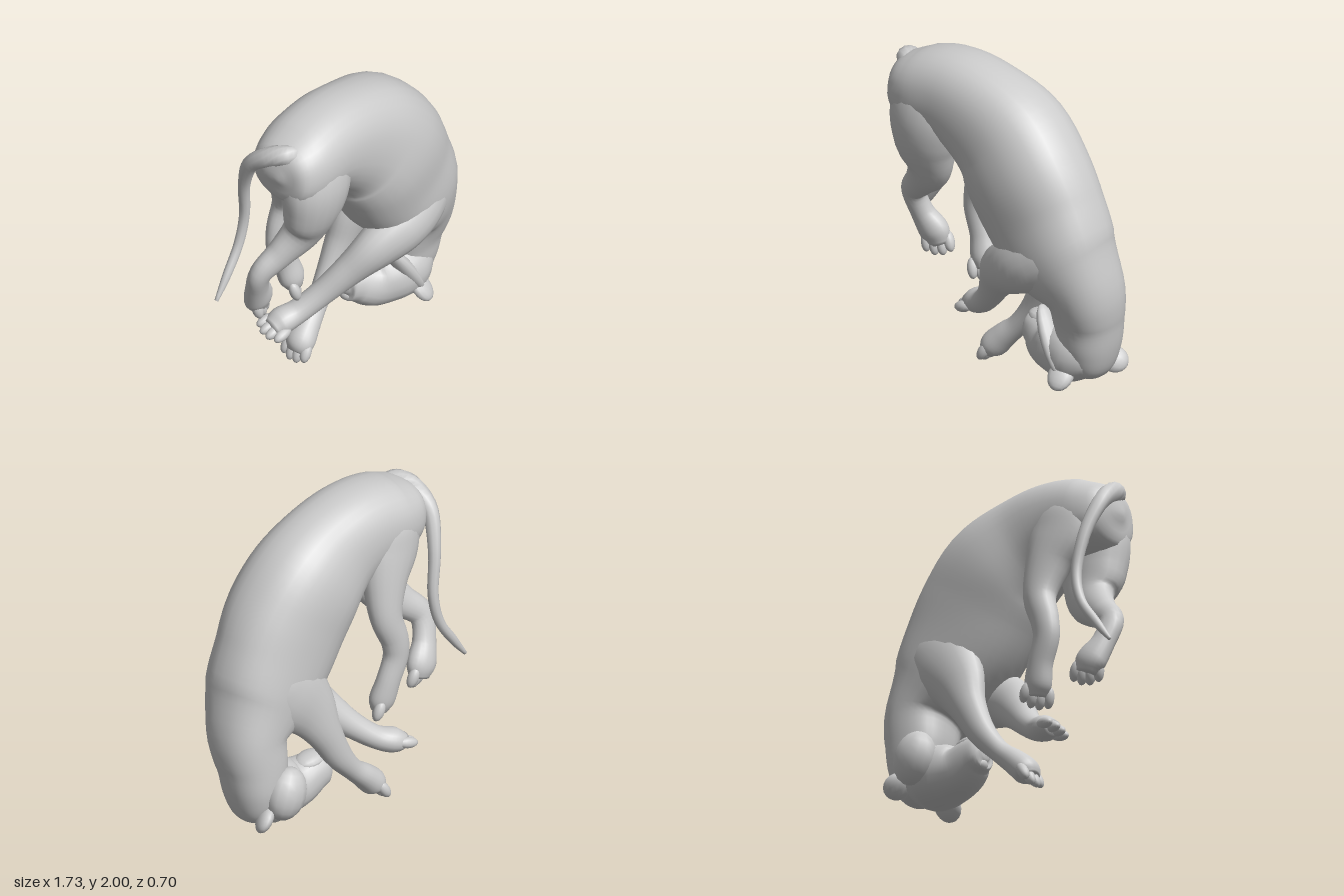
import * as THREE from 'three';

const material = new THREE.MeshStandardMaterial({ color: 0xcccccc });
const V = (a) => new THREE.Vector3(...a);
const soften = (v, e) => Math.sign(v) * Math.abs(v) ** e;

// Skin over oval cross-sections; each row is [x, y, z, half width in the xy plane, half width across]
// A power under 1 makes the ovals boxier
function loft(rows, steps = 5, sides = 20, power = 1) {
  const path = new THREE.CatmullRomCurve3(rows.map((r) => V(r.slice(0, 3))), false, 'catmullrom', 0.5);
  const size = new THREE.CatmullRomCurve3(rows.map((r) => V([r[3], r[4], 0])), false, 'catmullrom', 0.5);
  const count = (rows.length - 1) * steps;
  const pos = [], index = [];
  for (let i = 0; i <= count; i++) {
    const c = path.getPoint(i / count), s = size.getPoint(i / count), t = path.getTangent(i / count);
    const side = new THREE.Vector3(0, 0, 1).addScaledVector(t, -t.z).normalize();
    const normal = side.clone().cross(t);
    for (let j = 0; j < sides; j++) {
      const a = (j / sides) * Math.PI * 2;
      const p = c.clone().addScaledVector(normal, s.x * soften(Math.cos(a), power))
        .addScaledVector(side, s.y * soften(Math.sin(a), power));
      pos.push(p.x, p.y, p.z);
      if (i < count) {
        const k = (j + 1) % sides, o = i * sides, n = o + sides;
        index.push(o + j, o + k, n + j, o + k, n + k, n + j);
      }
    }
  }
  // Close both ends
  const first = pos.length / 3, last = first + 1, o = count * sides;
  pos.push(...path.getPoint(0).toArray(), ...path.getPoint(1).toArray());
  for (let j = 0; j < sides; j++) {
    const k = (j + 1) % sides;
    index.push(first, k, j, last, o + j, o + k);
  }
  const g = new THREE.BufferGeometry();
  g.setAttribute('position', new THREE.Float32BufferAttribute(pos, 3));
  g.setIndex(index);
  g.computeVertexNormals();
  return g;
}

export function createModel() {
  const model = new THREE.Group();
  const add = (name, geometry, parent = model) => {
    const m = new THREE.Mesh(geometry, material);
    m.name = name;
    parent.add(m);
    return m;
  };
  // Ellipsoid whose long axis (y) points along dir
  const blob = (name, at, scale, dir, parent) => {
    const m = add(name, new THREE.SphereGeometry(1, 14, 10), parent);
    m.position.copy(V(at));
    m.scale.copy(V(scale));
    m.quaternion.setFromUnitVectors(new THREE.Vector3(0, 1, 0), V(dir).normalize());
    return m;
  };

  // Arched torso running into the neck and crown
  add('body', loft([
    [-0.71, 1.72, 0.04, 0.03, 0.05],
    [-0.66, 1.72, 0.04, 0.17, 0.19],
    [-0.52, 1.71, 0.05, 0.24, 0.25],
    [-0.28, 1.72, 0.05, 0.28, 0.26],
    [-0.07, 1.65, 0.05, 0.33, 0.27],
    [0.13, 1.52, 0.04, 0.38, 0.30],
    [0.27, 1.34, 0.05, 0.40, 0.305],
    [0.39, 1.13, 0.04, 0.39, 0.29],
    [0.52, 0.92, 0.03, 0.34, 0.28],
    [0.64, 0.72, -0.01, 0.23, 0.235],
    [0.64, 0.52, -0.05, 0.20, 0.20],
    [0.64, 0.36, -0.06, 0.17, 0.18],
    [0.63, 0.22, -0.06, 0.12, 0.13],
    [0.62, 0.16, -0.06, 0.03, 0.04],
  ], 5, 32, 0.88));

  // Head turned back under the chest, crown down and chin up
  const head = new THREE.Group();
  head.name = 'head';
  model.add(head);
  add('skull', loft([
    [0.76, 0.30, -0.05, 0.03, 0.03],
    [0.71, 0.30, -0.05, 0.11, 0.13],
    [0.59, 0.31, -0.05, 0.18, 0.20],
    [0.45, 0.30, -0.06, 0.18, 0.19],
    [0.33, 0.29, -0.08, 0.15, 0.15],
    [0.22, 0.33, -0.11, 0.12, 0.115],
    [0.15, 0.34, -0.12, 0.10, 0.09],
    [0.125, 0.34, -0.12, 0.04, 0.04],
  ], 5, 20, 0.9), head);
  blob('nose', [0.165, 0.27, -0.12], [0.04, 0.04, 0.05], [0, 1, 0], head);
  blob('chin', [0.24, 0.42, -0.11], [0.04, 0.10, 0.08], [-1, 0.1, 0], head);
  blob('leftRuff', [0.46, 0.37, 0.07], [0.05, 0.23, 0.08], [-0.5, 0.85, -0.15], head);
  blob('rightRuff', [0.55, 0.37, -0.24], [0.13, 0.165, 0.11], [-0.3, 1, 0], head);
  blob('leftEar', [0.565, 0.20, 0.11], [0.08, 0.10, 0.045], [0.1, -0.7, 0.6], head);
  blob('rightEar', [0.69, 0.24, -0.21], [0.08, 0.09, 0.045], [0.75, -0.4, -0.5], head);

  // Legs: cross-sections, then where the toes sit, point and spread
  const legs = {
    leftFrontLeg: [[
      [0.68, 1.02, 0.10, 0.06, 0.06],
      [0.56, 0.98, 0.13, 0.19, 0.16],
      [0.43, 0.91, 0.17, 0.20, 0.165],
      [0.29, 0.84, 0.18, 0.175, 0.15],
      [0.13, 0.75, 0.13, 0.15, 0.12],
      [0.00, 0.62, 0.04, 0.11, 0.09],
      [-0.13, 0.48, -0.06, 0.08, 0.075],
      [-0.25, 0.38, -0.14, 0.07, 0.075],
      [-0.35, 0.34, -0.19, 0.075, 0.085],
      [-0.42, 0.32, -0.21, 0.045, 0.06],
    ], [-0.41, 0.315, -0.2], [-1, -0.25, -0.2], [-0.1, -0.25, 1]],
    rightFrontLeg: [[
      [0.62, 1.26, -0.06, 0.08, 0.06],
      [0.53, 1.12, -0.09, 0.22, 0.14],
      [0.42, 0.97, -0.12, 0.25, 0.145],
      [0.29, 0.80, -0.16, 0.18, 0.11],
      [0.20, 0.62, -0.19, 0.115, 0.085],
      [0.10, 0.43, -0.20, 0.085, 0.07],
      [-0.02, 0.28, -0.19, 0.065, 0.065],
      [-0.12, 0.19, -0.18, 0.075, 0.08],
      [-0.20, 0.11, -0.17, 0.08, 0.09],
      [-0.235, 0.06, -0.17, 0.045, 0.06],
    ], [-0.23, 0.07, -0.175], [-0.5, -0.85, 0], [0, 0, 1]],
    leftHindLeg: [[
      [-0.40, 1.88, 0.08, 0.10, 0.06],
      [-0.42, 1.74, 0.12, 0.22, 0.15],
      [-0.44, 1.58, 0.15, 0.245, 0.17],
      [-0.46, 1.40, 0.14, 0.21, 0.15],
      [-0.48, 1.23, 0.09, 0.155, 0.11],
      [-0.60, 1.09, 0.02, 0.10, 0.08],
      [-0.71, 0.98, -0.04, 0.08, 0.065],
      [-0.69, 0.84, -0.09, 0.075, 0.065],
      [-0.63, 0.72, -0.13, 0.10, 0.075],
      [-0.60, 0.64, -0.14, 0.07, 0.05],
    ], [-0.60, 0.65, -0.13], [0.25, -0.9, 0.15], [1, 0.12, -0.4]],
    rightHindLeg: [[
      [-0.44, 1.88, -0.05, 0.10, 0.05],
      [-0.42, 1.74, -0.08, 0.20, 0.12],
      [-0.39, 1.58, -0.11, 0.21, 0.12],
      [-0.33, 1.40, -0.14, 0.15, 0.11],
      [-0.30, 1.20, -0.18, 0.105, 0.085],
      [-0.35, 1.03, -0.20, 0.09, 0.07],
      [-0.36, 0.91, -0.20, 0.085, 0.065],
      [-0.31, 0.76, -0.19, 0.08, 0.065],
      [-0.28, 0.64, -0.17, 0.085, 0.07],
      [-0.265, 0.57, -0.16, 0.055, 0.05],
    ], [-0.265, 0.575, -0.16], [0.3, -0.9, 0.1], [0.7, 0.2, -0.7]],
  };
  for (const [name, [rows, at, dir, spread]] of Object.entries(legs)) {
    const leg = new THREE.Group();
    leg.name = name;
    model.add(leg);
    add('limb', loft(rows), leg);
    const d = V(dir).normalize(), s = V(spread).normalize();
    for (let i = 0; i < 4; i++) {
      const k = i - 1.5;
      const p = V(at).addScaledVector(s, k * 0.046).addScaledVector(d, 0.012 - 0.01 * k * k);
      blob('toe', p.toArray(), [0.034, 0.066, 0.034], d.clone().addScaledVector(s, k * 0.08).toArray(), leg);
    }
  }

  // Tail curling over the rump and hanging on the right side
  add('tail', loft([
    [-0.56, 1.84, 0.14, 0.04, 0.04],
    [-0.64, 1.86, 0.10, 0.06, 0.06],
    [-0.69, 1.83, 0.00, 0.06, 0.06],
    [-0.70, 1.72, -0.13, 0.05, 0.05],
    [-0.65, 1.50, -0.22, 0.038, 0.038],
    [-0.61, 1.25, -0.25, 0.033, 0.033],
    [-0.65, 1.05, -0.26, 0.03, 0.03],
    [-0.76, 0.88, -0.26, 0.028, 0.026],
    [-0.855, 0.75, -0.26, 0.012, 0.012],
  ], 5, 10));

  return model;
}
